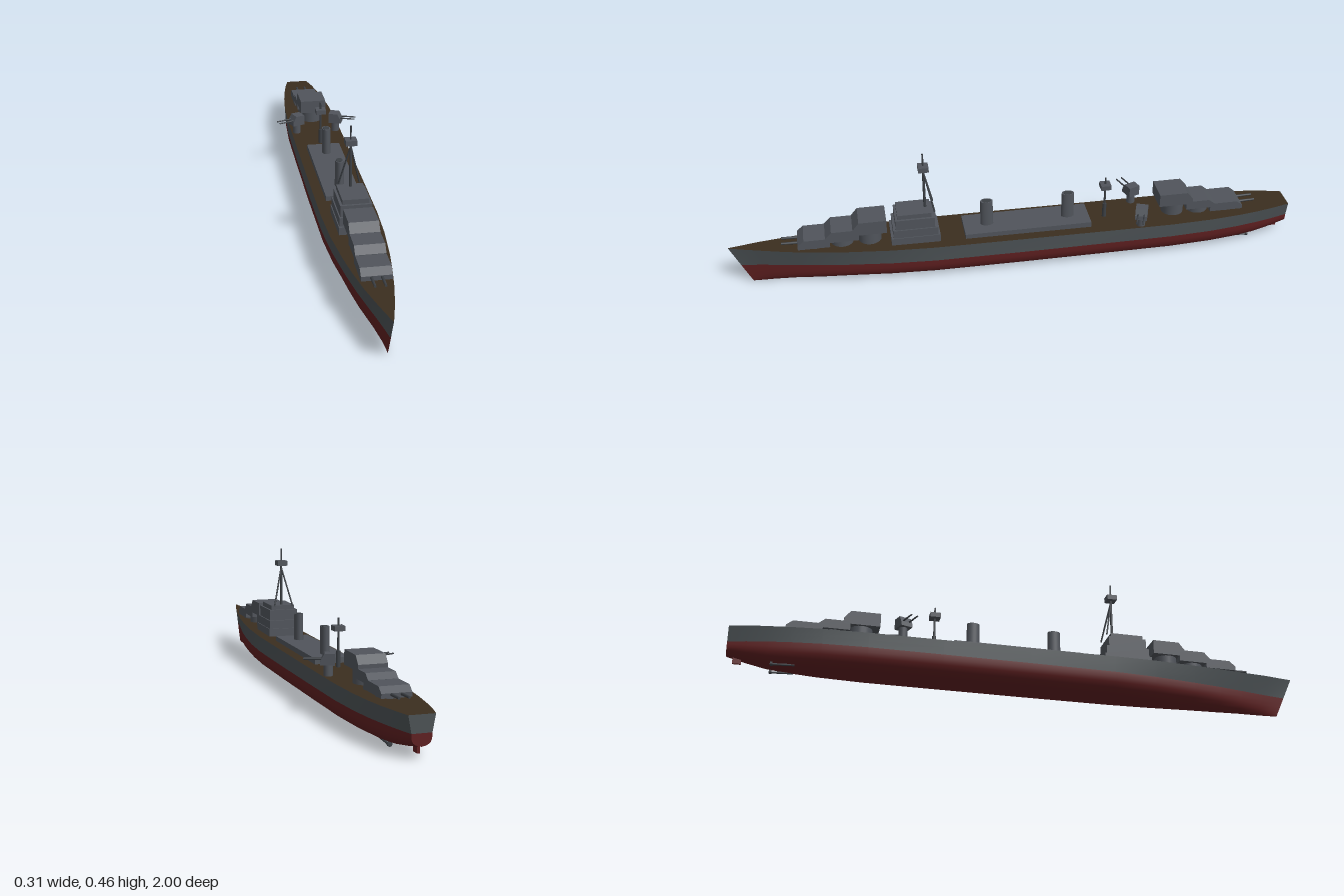
import * as THREE from 'three';

const mat = (name, color) => {
  const m = new THREE.MeshStandardMaterial({ color, side: THREE.DoubleSide });
  m.name = name;
  return m;
};

export function createModel() {
  const ship = new THREE.Group();
  ship.name = 'warship';
  const hullGrey = mat('hull grey', 0x4b5154);
  const upperGrey = mat('superstructure grey', 0x50545b);
  const red = mat('bottom red', 0x5e1f20);
  const wood = mat('deck brown', 0x3b2e1f);
  const dark = mat('mast grey', 0x3c4045);

  const add = (name, geo, material, x = 0, y = 0, z = 0, parent = ship) => {
    const mesh = new THREE.Mesh(geo, material);
    mesh.name = name;
    mesh.position.set(x, y, z);
    parent.add(mesh);
    return mesh;
  };
  const box = (name, w, y0, y1, z0, z1, material = upperGrey) =>
    add(name, new THREE.BoxGeometry(w, y1 - y0, Math.abs(z1 - z0)), material, 0, (y0 + y1) / 2, (z0 + z1) / 2);
  const rod = (name, a, b, r0, r1, material, parent = ship) => {
    const A = new THREE.Vector3(...a), B = new THREE.Vector3(...b), d = B.clone().sub(A);
    const mesh = add(name, new THREE.CylinderGeometry(r1, r0, d.length(), 8), material, 0, 0, 0, parent);
    mesh.position.copy(A).add(B).multiplyScalar(0.5);
    mesh.quaternion.setFromUnitVectors(new THREE.Vector3(0, 1, 0), d.normalize());
  };
  // side profile (z, y) extruded across the beam
  const profile = (pts, w) =>
    new THREE.ExtrudeGeometry(new THREE.Shape(pts.map(p => new THREE.Vector2(...p))), { depth: w, bevelEnabled: false })
      .translate(0, 0, -w / 2).rotateY(-Math.PI / 2);
  // skin over rows of points
  const loft = (rows) => {
    const n = rows[0].length, idx = [];
    for (let i = 0; i < rows.length - 1; i++)
      for (let j = 0; j < n - 1; j++) {
        const p = i * n + j;
        idx.push(p, p + 1, p + n, p + 1, p + n + 1, p + n);
      }
    const g = new THREE.BufferGeometry();
    g.setAttribute('position', new THREE.Float32BufferAttribute(rows.flat(2), 3));
    g.setIndex(idx);
    g.computeVertexNormals();
    return g;
  };

  // Hull stations: z, deck half-width, waterline half-width, keel y, deck y, stem rake
  const stations = [
    [1, 0.001, 0.001, 0.002, 0.15, 0.07],
    [0.96, 0.011, 0.006, 0.001, 0.148, 0.06],
    [0.9, 0.025, 0.015, 0, 0.146, 0.045],
    [0.8, 0.045, 0.032, 0, 0.141, 0.02],
    [0.7, 0.061, 0.049, 0, 0.138, 0],
    [0.6, 0.074, 0.064, 0, 0.136, 0],
    [0.45, 0.088, 0.082, 0, 0.134, 0],
    [0.3, 0.094, 0.092, 0, 0.132, 0],
    [0, 0.095, 0.095, 0, 0.13, 0],
    [-0.3, 0.095, 0.095, 0, 0.128, 0],
    [-0.55, 0.095, 0.094, 0, 0.127, 0],
    [-0.7, 0.089, 0.086, 0.002, 0.127, 0],
    [-0.8, 0.079, 0.074, 0.005, 0.127, 0],
    [-0.87, 0.069, 0.062, 0.01, 0.127, 0],
    [-0.94, 0.056, 0.047, 0.023, 0.128, 0],
    [-1, 0.041, 0.031, 0.037, 0.128, 0],
  ];
  const WL = 0.075;
  const bilge = [[1, 1], [1, 0.75], [0.96, 0.52], [0.85, 0.3], [0.62, 0.15], [0.32, 0.05], [0, 0]];
  const at = (s, x, y) => [x, y, s[0] - s[5] * (1 - y / s[4])];
  const topside = (s, side) => [1, 0.5, 0].map(t =>
    at(s, side * (s[2] + (s[1] - s[2]) * t), WL + (s[4] - WL) * t));
  const under = (s) => {
    const half = bilge.map(([f, g]) => [s[2] * f, s[3] + (WL - s[3]) * g]);
    return [...half, ...half.slice(0, -1).reverse().map(([x, y]) => [-x, y])].map(([x, y]) => at(s, x, y));
  };
  add('hullLeftSide', loft(stations.map(s => topside(s, 1))), hullGrey);
  add('hullRightSide', loft(stations.map(s => topside(s, -1).reverse())), hullGrey);
  add('hullBottom', loft(stations.map(under)), red);
  add('deck', loft(stations.map(s => [at(s, -s[1], s[4]), at(s, s[1], s[4])])), wood);

  // Transom
  const stern = stations[stations.length - 1];
  const cap = (name, pts, material) => add(name, new THREE.ShapeGeometry(
    new THREE.Shape(pts.map(p => new THREE.Vector2(p[0], p[1])))).rotateY(Math.PI), material, 0, 0, -1);
  cap('transomUpper', [...topside(stern, 1), ...topside(stern, -1).reverse()], hullGrey);
  cap('transomLower', under(stern), red);

  // Rudder and propeller shafts
  box('rudder', 0.008, 0.012, 0.045, -0.978, -0.95, red);
  for (const s of [1, -1]) {
    rod('propellerShaft', [s * 0.035, 0.012, -0.78], [s * 0.035, 0.008, -0.86], 0.004, 0.004, dark);
    rod('propeller', [s * 0.035, 0.01, -0.85], [s * 0.035, 0.01, -0.858], 0.008, 0.008, dark);
  }

  // Main gun houses: rear z, front z, bottom y, roof y
  const turret = (zr, zf, y0, y1, guns) => {
    const d = Math.sign(zf - zr), mid = (zr + zf) / 2;
    const pts = [[zr, y0], [zf, y0], [zf, y0 + (y1 - y0) * 0.45], [zf - d * 0.022, y1], [zr, y1]];
    add('turret', profile(d > 0 ? pts : pts.reverse(), 0.096), upperGrey);
    add('barbette', new THREE.CylinderGeometry(0.04, 0.04, y0 - 0.12, 20), upperGrey, 0, (y0 + 0.12) / 2, mid);
    if (guns) for (const x of [-0.016, 0.016])
      rod('mainGun', [x, y0 + 0.01, zf - d * 0.01], [x, y0 + 0.012, zf + d * 0.055], 0.005, 0.004, dark);
  };
  turret(0.655, 0.765, 0.146, 0.18, true);
  turret(0.555, 0.67, 0.163, 0.204, false);
  turret(0.458, 0.575, 0.182, 0.232, false);
  turret(-0.51, -0.632, 0.175, 0.223, false);
  turret(-0.61, -0.715, 0.152, 0.184, false);
  turret(-0.70, -0.82, 0.134, 0.166, true);

  // Stepped bridge
  for (const [w, y0, y1, z0, z1] of [
    [0.118, 0.125, 0.16, 0.275, 0.445], [0.112, 0.16, 0.19, 0.282, 0.437],
    [0.104, 0.19, 0.228, 0.292, 0.428], [0.088, 0.228, 0.244, 0.302, 0.42]])
    box('bridgeTier', w, y0, y1, z0, z1);

  // Tripod mast
  rod('foremast', [0, 0.24, 0.32], [0, 0.4, 0.32], 0.005, 0.004, dark);
  rod('foremastPole', [0, 0.4, 0.32], [0, 0.456, 0.32], 0.003, 0.003, dark);
  for (const s of [1, -1])
    rod('mastLeg', [0, 0.385, 0.32], [s * 0.035, 0.242, 0.29], 0.003, 0.003, dark);
  box('lookout', 0.037, 0.392, 0.41, 0.302, 0.338);

  // Midship house and oval funnels
  box('midshipHouse', 0.12, 0.12, 0.148, -0.26, 0.188);
  for (const z of [0.105, -0.185]) {
    const g = new THREE.CylinderGeometry(0.015, 0.016, 0.096, 24).scale(1, 1, 1.45);
    add('funnel', g, upperGrey, 0, 0.194, z);
    add('funnelMouth', new THREE.CylinderGeometry(0.011, 0.011, 0.002, 24).scale(1, 1, 1.45), dark, 0, 0.242, z);
  }

  // Aft mast
  rod('aftMastBase', [0, 0.125, -0.32], [0, 0.182, -0.32], 0.008, 0.007, dark);
  rod('aftMast', [0, 0.18, -0.32], [0, 0.29, -0.32], 0.004, 0.003, dark);
  box('aftLookout', 0.037, 0.248, 0.265, -0.338, -0.302);

  // Twin side guns, trained outward and slightly forward
  for (const s of [1, -1]) {
    const mount = new THREE.Group();
    mount.name = 'sideGunMount';
    mount.position.set(s * 0.075, 0, -0.437);
    mount.rotation.y = s * (Math.PI / 2 - 0.35);
    add('gunPedestal', new THREE.CylinderGeometry(0.015, 0.015, 0.045, 16), upperGrey, 0, 0.145, 0, mount);
    add('gunShield', profile([[-0.022, 0.163], [0.026, 0.163], [0.024, 0.178], [0.012, 0.2], [-0.022, 0.2]], 0.042),
      upperGrey, 0, 0, 0, mount);
    for (const x of [-0.011, 0.011])
      rod('sideGun', [x, 0.182, 0.01], [x, 0.182, 0.078], 0.003, 0.0025, dark, mount);
    ship.add(mount);
  }
  return ship;
}
